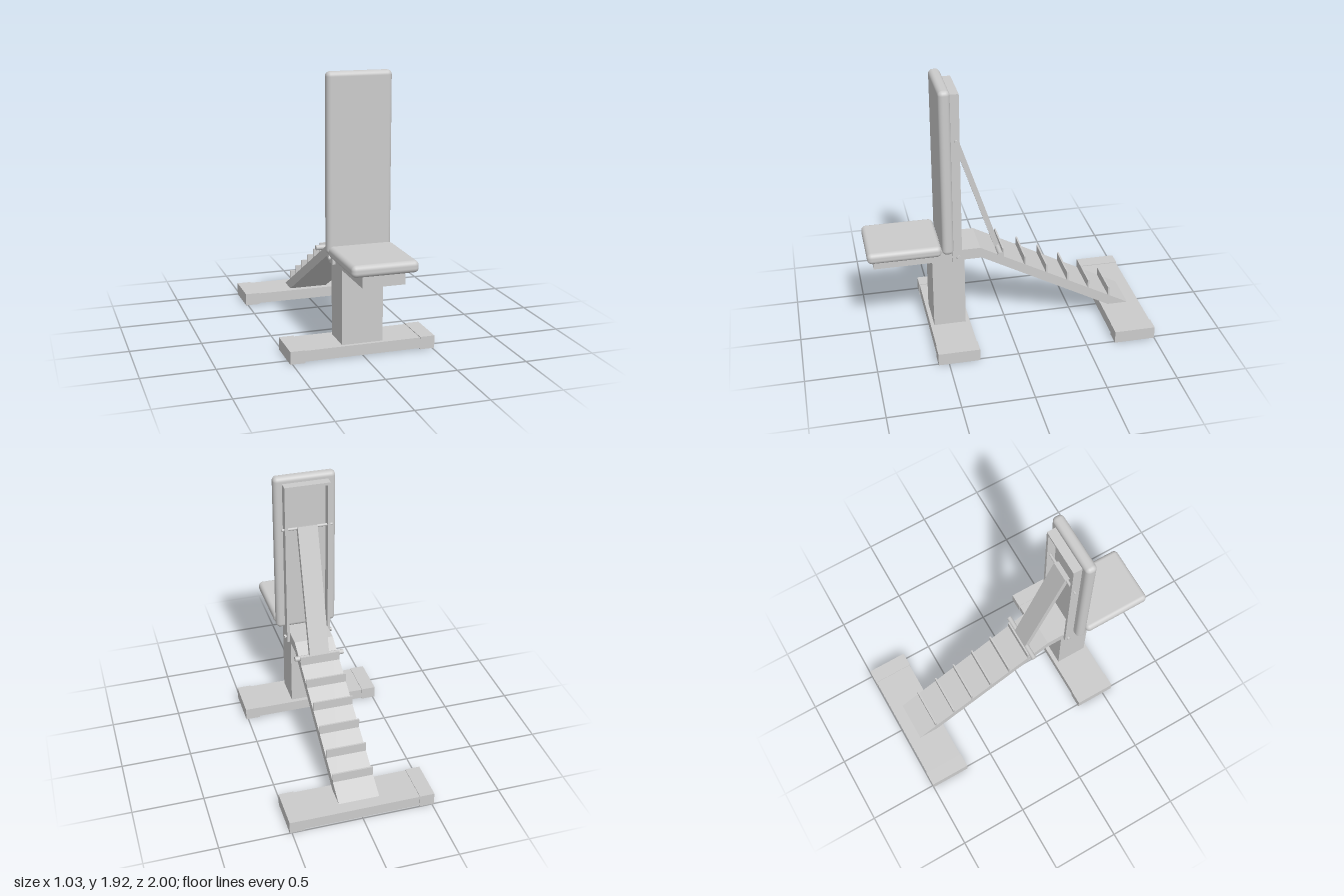
import * as THREE from 'three';
import { RoundedBoxGeometry } from 'three/addons/geometries/RoundedBoxGeometry.js';

const material = new THREE.MeshStandardMaterial({ color: 0xcccccc });

export function createModel() {
  const group = new THREE.Group();

  const add = (name, geometry, x = 0, y = 0, z = 0) => {
    const mesh = new THREE.Mesh(geometry, material);
    mesh.name = name;
    mesh.position.set(x, y, z);
    group.add(mesh);
    return mesh;
  };

  // Box given by its extents along each axis
  const box = (name, [x0, x1], [y0, y1], [z0, z1]) =>
    add(name, new THREE.BoxGeometry(x1 - x0, y1 - y0, z1 - z0),
      (x0 + x1) / 2, (y0 + y1) / 2, (z0 + z1) / 2);

  // Cylinder lying along x
  const rod = (name, radius, length, x, y, z) =>
    add(name, new THREE.CylinderGeometry(radius, radius, length, 20).rotateZ(Math.PI / 2), x, y, z);

  // Feet: a cross bar with slightly larger end caps
  for (const [name, z0, z1] of [['front', 0.28, 0.575], ['rear', -1, -0.705]]) {
    box(name + 'FootBar', [-0.41, 0.41], [0.008, 0.085], [z0 + 0.004, z1 - 0.004]);
    for (const s of [-1, 1]) {
      const cap = box(name + 'FootCap', [0.41, 0.515], [0, 0.09], [z0, z1]);
      cap.position.x *= s;
    }
  }

  // Pillar under the seat
  box('pillar', [-0.145, 0.145], [0.08, 0.612], [0.315, 0.545]);

  // Main beam: level under the seat, then sloping down to the rear foot
  const beam = new THREE.Shape([
    [0.955, 0.61], [0.955, 0.69], [0.2, 0.69], [-0.91, 0.085], [-0.76, 0.085], [0.19, 0.61],
  ].map(([z, y]) => new THREE.Vector2(-z, y)));
  add('mainBeam', new THREE.ExtrudeGeometry(beam, { depth: 0.29, bevelEnabled: false })
    .translate(0, 0, -0.145).rotateY(Math.PI / 2));

  // Upright stops along the slope
  for (let i = 0; i < 6; i++) {
    const z = 0.036 - i * 0.16;
    const y = 0.69 - 0.545 * (0.2 - z);
    box('slopeStop', [-0.145, 0.145], [y - 0.015, y + 0.065], [z - 0.006, z + 0.006]);
  }

  // Cushions
  add('seatPad', new RoundedBoxGeometry(0.45, 0.08, 0.515, 5, 0.032), 0, 0.73, 0.7425);
  add('backPad', new RoundedBoxGeometry(0.45, 1.22, 0.08, 5, 0.032), 0, 1.31, 0.44);

  // Back frame: two rails straddling the beam, joined at the top
  for (const s of [-1, 1]) {
    const rail = box('backFrameRail', [0.146, 0.166], [0.61, 1.875], [0.335, 0.402]);
    rail.position.x *= s;
    rod('pivotBolt', 0.016, 0.008, s * 0.178, 0.648, 0.36);
  }
  box('backFrameTop', [-0.146, 0.146], [1.855, 1.875], [0.335, 0.402]);
  rod('pivotRod', 0.01, 0.37, 0, 0.648, 0.36);

  // Support strut with its two rods
  const top = new THREE.Vector2(0.36, 1.54);
  const foot = new THREE.Vector2(0.063, 0.64);
  const run = top.clone().sub(foot);
  const strut = add('supportStrut', new THREE.BoxGeometry(0.145, run.length() + 0.02, 0.038),
    0, (top.y + foot.y) / 2, (top.x + foot.x) / 2);
  strut.rotation.x = Math.atan2(run.x, run.y);
  rod('strutTopRod', 0.01, 0.37, 0, top.y, top.x);
  rod('strutFootRod', 0.018, 0.365, 0, foot.y, foot.x);

  return group;
}
